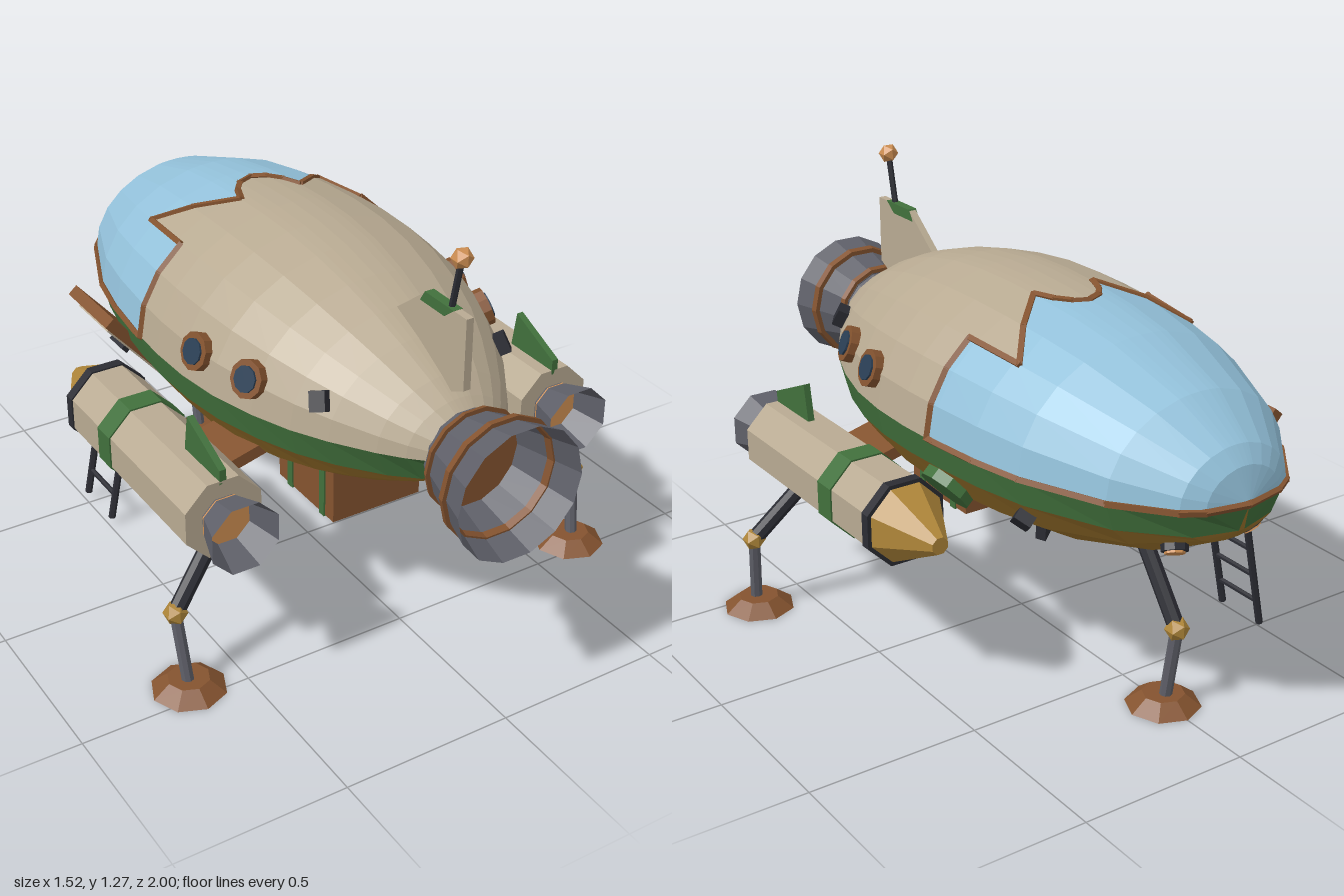
import * as THREE from 'three';

const V = (x, y, z) => new THREE.Vector3(x, y, z);
const paint = (name, color, side = THREE.FrontSide) =>
  new THREE.MeshStandardMaterial({ name, color, side, flatShading: true });
const M = {
  hull: paint('warm grey', 0xb8aa92), glass: paint('sky blue', 0x93c1da),
  green: paint('green', 0x41703c), belly: paint('ochre', 0x98702a),
  brown: paint('brown', 0x84532f), gold: paint('gold', 0xb0873a),
  copper: paint('copper', 0xcd8e52), dark: paint('charcoal', 0x2b2c33),
  grey: paint('steel', 0x5f6069, THREE.DoubleSide), window: paint('dark blue', 0x2a3f55),
};

// Hull stations [z, half width]; upper and lower heights are proportional to width
const Y0 = 0.725, UP = 0.355 / 0.445, LOW = 0.3 / 0.445, BAND = 0.08;
const STATIONS = [[-0.985, 0], [-0.96, 0.119], [-0.925, 0.175], [-0.78, 0.29], [-0.54, 0.387], [-0.38, 0.42],
  [-0.22, 0.438], [-0.08, 0.446], [0.06, 0.443], [0.2, 0.425], [0.34, 0.387], [0.46, 0.34], [0.56, 0.285],
  [0.67, 0.21], [0.73, 0.16], [0.77, 0.119], [0.79, 0]];
function halfWidth(z) {
  for (let i = 1; i < STATIONS.length; i++) {
    const [z0, w0] = STATIONS[i - 1], [z1, w1] = STATIONS[i];
    if (z <= z1) return w0 + (w1 - w0) * Math.max(0, (z - z0) / (z1 - z0));
  }
  return 0;
}
function hullPoint(z, t) {
  const w = halfWidth(z), s = Math.sin(t);
  return V(w * Math.cos(t), Y0 + w * (s > 0 ? UP : LOW) * s, z);
}
// Angle at which the green band ends, at a constant height
const bandAngle = (z) => Math.asin(Math.min(1, BAND / Math.max(1e-6, halfWidth(z) * LOW)));

// Strips of hull skin; each column is [angleA(z), angleB(z), rowA(z), rowB(z)]
function skin(columns) {
  const pos = [];
  for (const [ta, tb, ra, rb] of columns) {
    for (let i = 1; i < STATIONS.length; i++) {
      const z0 = STATIONS[i - 1][0], z1 = STATIONS[i][0];
      const at = (t, r, z) => hullPoint(r(z), t(z));
      const a = at(ta, ra, z0), b = at(tb, rb, z0), c = at(tb, rb, z1), d = at(ta, ra, z1);
      for (const tri of [[a, b, c], [a, c, d]]) {
        const area = tri[1].clone().sub(tri[0]).cross(tri[2].clone().sub(tri[0])).length();
        if (area > 1e-7) tri.forEach((p) => pos.push(p.x, p.y, p.z));
      }
    }
  }
  const g = new THREE.BufferGeometry();
  g.setAttribute('position', new THREE.Float32BufferAttribute(pos, 3));
  g.computeVertexNormals();
  return g;
}

function add(parent, name, geo, mat, p = V(0, 0, 0)) {
  const m = new THREE.Mesh(geo, mat);
  m.name = name;
  m.position.copy(p);
  parent.add(m);
  return m;
}
function bar(parent, name, a, b, r, mat, sides = 8) {
  const d = b.clone().sub(a);
  const m = add(parent, name, new THREE.CylinderGeometry(r, r, d.length() + r * 0.5, sides), mat, a.clone().lerp(b, 0.5));
  m.quaternion.setFromUnitVectors(V(0, 1, 0), d.normalize());
  return m;
}
// Cylinder along z; rBack faces +z
const zCyl = (rBack, rFront, len, n, open = false) =>
  new THREE.CylinderGeometry(rBack, rFront, len, n, 1, open).rotateZ(0).rotateY(Math.PI / n).rotateX(Math.PI / 2);
// Plate in the z-y plane, thickness along x
function plate(points, thick) {
  const s = new THREE.Shape(points.map(([z, y]) => new THREE.Vector2(-z, y)));
  return new THREE.ExtrudeGeometry(s, { depth: thick, bevelEnabled: false }).translate(0, 0, -thick / 2).rotateY(Math.PI / 2);
}
// Group sitting on the hull with its +z pointing outward
function onHull(parent, name, side, z, y) {
  const w = halfWidth(z), h = w * (y > Y0 ? UP : LOW);
  let t = Math.asin((y - Y0) / h);
  if (side < 0) t = Math.PI - t;
  const e = 0.03;
  const n = hullPoint(z, t + e).sub(hullPoint(z, t - e)).cross(hullPoint(z + e, t).sub(hullPoint(z - e, t))).normalize();
  const g = new THREE.Group();
  g.name = name;
  g.position.copy(hullPoint(z, t));
  g.quaternion.setFromUnitVectors(V(0, 0, 1), n);
  parent.add(g);
  return g;
}

function buildHull(root) {
  // Jagged canopy edge: [degrees, z], mirrored over the top
  const half = [[0, -0.19], [16, -0.19], [32, -0.19], [47, -0.19], [47, -0.4], [62, -0.3], [77, -0.2], [80, -0.26], [84, -0.3], [90, -0.32]];
  const edge = half.concat(half.slice(0, -1).reverse().map(([d, z]) => [180 - d, z]))
    .map(([d, z]) => [d * Math.PI / 180, z]);
  const shell = [], canopy = [];
  for (let i = 1; i < edge.length; i++) {
    const [t0, z0] = edge[i - 1], [t1, z1] = edge[i];
    bar(root, 'canopyTrim', hullPoint(z0, t0), hullPoint(z1, t1), 0.011, M.brown, 4);
    if (t0 === t1) continue;
    shell.push([() => t0, () => t1, (z) => Math.max(z, z0), (z) => Math.max(z, z1)]);
    canopy.push([() => t0, () => t1, (z) => Math.min(z, z0), (z) => Math.min(z, z1)]);
  }
  add(root, 'upperHull', skin(shell), M.hull);
  add(root, 'canopy', skin(canopy), M.glass);
  const id = (z) => z, PI = Math.PI, belly = [];
  add(root, 'hullBand', skin([[(z) => -bandAngle(z), () => 0, id, id], [() => PI, (z) => PI + bandAngle(z), id, id]]), M.green);
  for (let i = 0; i < 7; i++) {
    const at = (k) => (z) => PI + bandAngle(z) + (PI - 2 * bandAngle(z)) * k / 7;
    belly.push([at(i), at(i + 1), id, id]);
  }
  add(root, 'belly', skin(belly), M.belly);
  // Trim along the lower edge of the canopy
  const zs = [...STATIONS.map((s) => s[0]).filter((z) => z < -0.2), -0.19];
  for (const t of [0, PI])
    for (let i = 1; i < zs.length; i++) bar(root, 'canopySill', hullPoint(zs[i - 1], t), hullPoint(zs[i], t), 0.011, M.brown, 4);
}

function buildMainEngine(root) {
  const c = (z) => V(0, 0.71, z);
  add(root, 'engineBell', zCyl(0.192, 0.125, 0.24, 14, true), M.grey, c(0.88));
  add(root, 'engineGlow', zCyl(0.117, 0.117, 0.01, 14), M.copper, c(0.765));
  add(root, 'engineInnerRing', new THREE.RingGeometry(0.112, 0.135, 14), M.grey, c(0.785));
  add(root, 'engineHoop', zCyl(0.15, 0.145, 0.022, 14, false), M.brown, c(0.797)).scale.set(1, 1, 0.7);
  const outer = new THREE.LatheGeometry([[0.16, -0.01], [0.178, -0.01], [0.182, 0.01], [0.165, 0.01], [0.16, -0.01]]
    .map(([r, y]) => new THREE.Vector2(r, y)), 14).rotateY(Math.PI / 14).rotateX(Math.PI / 2);
  add(root, 'engineHoop', outer, M.brown, c(0.91));
}

function buildPod(root, s) {
  const pod = new THREE.Group();
  pod.name = s > 0 ? 'leftPod' : 'rightPod';
  pod.position.set(0.54 * s, 0.525, 0);
  root.add(pod);
  add(pod, 'podBody', zCyl(0.122, 0.122, 0.69, 8), M.hull, V(0, 0, 0.115));
  add(pod, 'podBand', zCyl(0.127, 0.127, 0.07, 8), M.green, V(0, 0, -0.005));
  add(pod, 'podCollar', zCyl(0.127, 0.127, 0.03, 8), M.dark, V(0, 0, -0.225));
  add(pod, 'podNose', zCyl(0.115, 0.025, 0.17, 8), M.gold, V(0, 0, -0.325));
  add(pod, 'podNozzle', zCyl(0.106, 0.068, 0.115, 8, true), M.grey, V(0, 0, 0.5175));
  add(pod, 'podGlow', zCyl(0.072, 0.072, 0.008, 8), M.copper, V(0, 0, 0.472));
  add(pod, 'podFin', plate([[0.46, 0.1], [0.46, 0.145], [0.29, 0.22], [0.27, 0.1]], 0.02), M.green);
  // Pylon joining pod and hull
  const pylon = add(root, 'podPylon', new THREE.BoxGeometry(0.17, 0.035, 0.19), M.brown, V(0.37 * s, 0.557, 0.195));
  pylon.rotation.z = -0.25 * s;
}

function buildLeg(root, name, foot, ankle, knee, hip) {
  const leg = new THREE.Group();
  leg.name = name;
  root.add(leg);
  add(leg, 'footPad', new THREE.CylinderGeometry(0.06, 0.107, 0.036, 8), M.brown, foot.clone().setY(0.018));
  bar(leg, 'lowerStrut', ankle, knee, 0.018, M.grey);
  bar(leg, 'upperStrut', knee, hip, 0.024, M.dark);
  add(leg, 'knee', new THREE.IcosahedronGeometry(0.035, 0), M.gold, knee);
}

function buildHullFittings(root) {
  for (const s of [1, -1]) {
    for (const z of [0.12, 0.32]) {
      const port = onHull(root, 'porthole', s, z, 0.82);
      add(port, 'portholeFrame', zCyl(0.054, 0.054, 0.04, 10), M.brown);
      add(port, 'portholePane', zCyl(0.037, 0.037, 0.008, 10), M.window, V(0, 0, 0.022));
    }
    add(onHull(root, 'rearThruster', s, 0.52, 0.825), 'thrusterBlock', new THREE.BoxGeometry(0.045, 0.055, 0.06), M.dark);
    const lamp = onHull(root, 'headlamp', s, -0.85, 0.59);
    add(lamp, 'lampRim', zCyl(0.036, 0.036, 0.03, 8), M.dark);
    add(lamp, 'lampLens', zCyl(0.027, 0.027, 0.008, 8), M.copper, V(0, 0, 0.017));
  }
  add(onHull(root, 'frontThruster', 1, -0.51, 0.595), 'thrusterBlock', new THREE.BoxGeometry(0.065, 0.05, 0.05), M.dark);
  add(onHull(root, 'bellyVent', 1, -0.44, 0.5), 'ventWedge', new THREE.CylinderGeometry(0.03, 0.03, 0.03, 3), M.dark);
  add(onHull(root, 'sideHatch', 1, -0.2, 0.575), 'hatchDisc', zCyl(0.08, 0.08, 0.04, 10), M.green);

  // Boarding door and ladder on the right side
  const door = new THREE.Group();
  door.name = 'boardingDoor';
  door.position.set(-0.35, 0.572, -0.445);
  door.rotation.z = 0.71;
  root.add(door);
  add(door, 'doorFrame', new THREE.BoxGeometry(0.035, 0.38, 0.25), M.brown);
  add(door, 'doorPanel', new THREE.BoxGeometry(0.008, 0.31, 0.19), M.hull, V(-0.02, 0, 0));
  add(door, 'doorHandle', new THREE.BoxGeometry(0.02, 0.025, 0.08), M.dark, V(-0.03, 0.02, 0));
  const at = (y, z) => V(-0.488 + (y - 0.02) * 0.203, y, z);
  for (const z of [-0.36, -0.525]) bar(root, 'ladderRail', at(0.025, z), at(0.43, z), 0.011, M.dark, 6);
  for (const y of [0.1, 0.19, 0.28, 0.37]) bar(root, 'ladderRung', at(y, -0.36), at(y, -0.525), 0.008, M.dark, 6);

  // Strapped cargo crate under the belly
  add(root, 'cargoCrate', new THREE.BoxGeometry(0.29, 0.17, 0.29), M.brown, V(0, 0.395, 0.225));
  for (const z of [0.145, 0.315]) add(root, 'cargoStrap', new THREE.BoxGeometry(0.3, 0.176, 0.026), M.green, V(0, 0.395, z));
  add(root, 'cargoHandle', new THREE.BoxGeometry(0.09, 0.012, 0.02), M.grey, V(0, 0.304, 0.24));

  // Tail fin and antenna
  add(root, 'tailFin', plate([[0.76, 0.89], [0.76, 1.095], [0.585, 1.095], [0.44, 0.98], [0.46, 0.88], [0.62, 0.82]], 0.022), M.hull);
  add(root, 'tailFinPatch', plate([[0.71, 1.097], [0.585, 1.097], [0.565, 1.065], [0.67, 1.065]], 0.028), M.green);
  bar(root, 'antennaMast', V(0, 1.08, 0.68), V(0, 1.24, 0.715), 0.009, M.dark, 6);
  add(root, 'antennaTip', new THREE.IcosahedronGeometry(0.03, 0), M.copper, V(0, 1.243, 0.716));
}

export function createModel() {
  const root = new THREE.Group();
  root.name = 'spaceship';
  buildHull(root);
  buildMainEngine(root);
  for (const s of [1, -1]) {
    buildPod(root, s);
    buildLeg(root, s > 0 ? 'leftLeg' : 'rightLeg', V(0.655 * s, 0, 0.447),
      V(0.66 * s, 0.03, 0.452), V(0.672 * s, 0.24, 0.418), V(0.5 * s, 0.43, 0.36));
  }
  buildLeg(root, 'frontLeg', V(0, 0, -0.68), V(0, 0.03, -0.69), V(0, 0.255, -0.728), V(0, 0.51, -0.54));
  buildHullFittings(root);
  return root;
}
